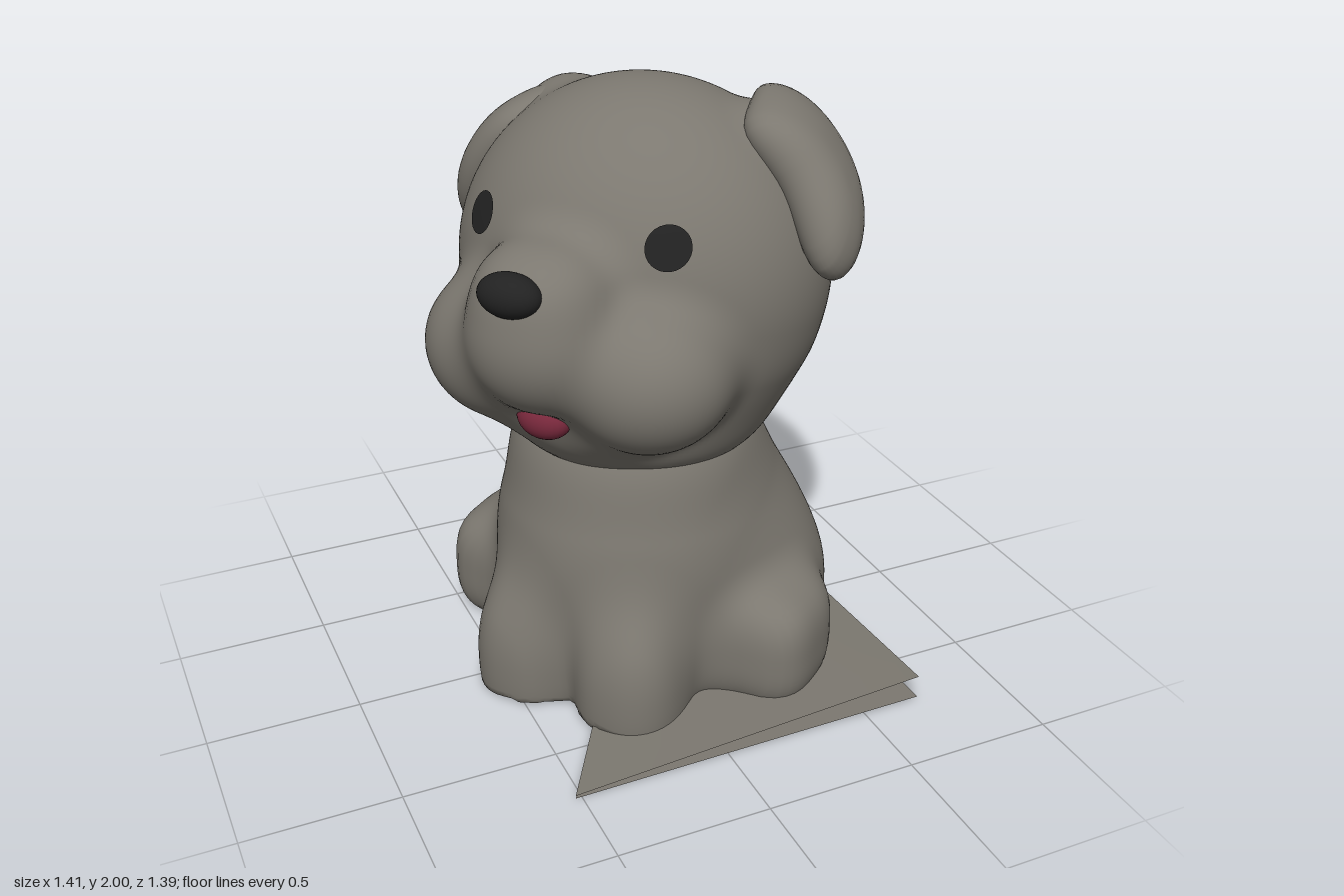
import * as THREE from 'three';
import { mergeVertices } from 'three/addons/utils/BufferGeometryUtils.js';

const V = (x, y, z) => new THREE.Vector3(x, y, z);
const clay = new THREE.MeshStandardMaterial({ color: 0x7c7870, side: THREE.DoubleSide });
clay.name = 'clay grey';
const black = new THREE.MeshStandardMaterial({ color: 0x222222 });
black.name = 'black';
const red = new THREE.MeshStandardMaterial({ color: 0x7c2a3e });
red.name = 'tongue red';

// Weld seams and smooth the normals
function smooth(geo) {
  geo.deleteAttribute('uv');
  geo.deleteAttribute('normal');
  const g = mergeVertices(geo, 1e-5);
  g.computeVertexNormals();
  return g;
}

function mesh(name, geo, mat, parent) {
  const m = new THREE.Mesh(geo, mat);
  m.name = name;
  parent.add(m);
  return m;
}

// Each lump: centre, radii, squareness exponent
const lump = (c, r, n = 2) => ({ c, r, n });
const pair = (c, r, n = 2) => [lump(c, r, n), lump([-c[0], c[1], c[2]], r, n)];

// Softly blended field of lumps, negative inside
function field(lumps, k) {
  return (p) => {
    let d = 10;
    for (const { c, r, n } of lumps) {
      const s = Math.abs((p.x - c[0]) / r[0]) ** n + Math.abs((p.y - c[1]) / r[1]) ** n
        + Math.abs((p.z - c[2]) / r[2]) ** n;
      const e = (s ** (1 / n) - 1) * Math.min(...r);
      const h = Math.max(k - Math.abs(d - e), 0) / k;
      d = Math.min(d, e) - h * h * k * 0.25;
    }
    return Math.max(d, 0.005 - p.y);
  };
}

// Surface point of a field along a ray from its centre
function caster(centre, f) {
  return (dir, lift = 0) => {
    let a = 0, b = 1.4;
    for (let i = 0; i < 22; i++) {
      const m = (a + b) / 2;
      if (f(centre.clone().addScaledVector(dir, m)) < 0) a = m; else b = m;
    }
    return centre.clone().addScaledVector(dir, a + lift);
  };
}

// Sphere pushed out onto the surface
function blob(cast) {
  const geo = new THREE.SphereGeometry(1, 144, 110);
  const pos = geo.attributes.position;
  for (let i = 0; i < pos.count; i++) {
    const q = cast(V(0, 0, 0).fromBufferAttribute(pos, i).normalize());
    pos.setXYZ(i, q.x, q.y, q.z);
  }
  return smooth(geo);
}

// Thin round patch lying on a surface
function patch(cast, centre, target, radius) {
  const geo = new THREE.CircleGeometry(radius, 28);
  const pos = geo.attributes.position;
  const look = new THREE.Object3D();
  look.position.copy(target);
  look.lookAt(target.clone().multiplyScalar(2).sub(centre));
  look.updateMatrix();
  for (let i = 0; i < pos.count; i++) {
    const p = V(0, 0, 0).fromBufferAttribute(pos, i).applyMatrix4(look.matrix);
    const q = cast(p.sub(centre).normalize(), 0.007);
    pos.setXYZ(i, q.x, q.y, q.z);
  }
  geo.computeVertexNormals();
  return geo;
}

// Ear flap: outline points (z, share of the slope) swept into an arched pillow
function earGeometry(side, top, bottom, outline, thick) {
  const curve = new THREE.CatmullRomCurve3(outline.map(([z, v]) => V(z, v, 0)), true);
  const mid = V(0, 0, 0);
  outline.forEach(([z, v]) => mid.add(V(z, v, 0).divideScalar(outline.length)));
  const dx = bottom[0] - top[0], dy = bottom[1] - top[1], len = Math.hypot(dx, dy);
  const rows = 24, cols = 48, pts = [], index = [];
  for (let i = 0; i <= rows; i++) {
    const a = (i / rows) * Math.PI;
    const spread = Math.sin(a) ** 0.6, t = Math.cos(a) * thick;
    for (let j = 0; j < cols; j++) {
      const o = curve.getPoint(j / cols).sub(mid).multiplyScalar(spread).add(mid);
      const bulge = t + 0.05 * Math.sin(Math.PI * Math.min(1, Math.max(0, o.y)));
      // The rear edge curls in towards the head
      const curl = 0.9 * Math.min(o.x, 0) ** 2;
      pts.push(side * (top[0] + dx * o.y - (dy / len) * bulge - curl), top[1] + dy * o.y + (dx / len) * bulge, o.x);
      if (i < rows) {
        const p = i * cols + j, q = i * cols + ((j + 1) % cols);
        if (side > 0) index.push(p, p + cols, q, q, p + cols, q + cols);
        else index.push(p, q, p + cols, q, q + cols, p + cols);
      }
    }
  }
  // Faces follow the outline's direction
  let area = 0;
  outline.forEach(([z, v], i) => {
    const [z2, v2] = outline[(i + 1) % outline.length];
    area += z * v2 - z2 * v;
  });
  if (area < 0) index.reverse();
  const geo = new THREE.BufferGeometry();
  geo.setAttribute('position', new THREE.Float32BufferAttribute(pts, 3));
  geo.setIndex(index);
  return smooth(geo);
}

// Sheet spanning four corners
function sheetGeometry(a, b, c, d) {
  const geo = new THREE.PlaneGeometry(1, 1, 12, 12);
  const pos = geo.attributes.position;
  for (let i = 0; i < pos.count; i++) {
    const u = pos.getX(i) + 0.5, v = pos.getY(i) + 0.5;
    const q = a.clone().lerp(b, u).lerp(d.clone().lerp(c, u), v);
    pos.setXYZ(i, q.x, q.y, q.z);
  }
  geo.computeVertexNormals();
  return geo;
}

export function createModel() {
  const model = new THREE.Group();
  model.name = 'sittingPuppy';
  const dog = new THREE.Group();
  dog.name = 'puppy';
  dog.rotation.y = -0.927;
  model.add(dog);

  // Body with rump, legs, paws and tail
  const bodyField = field([
    lump([0, 0.45, 0.03], [0.46, 0.6, 0.45]),
    lump([0, 0.83, 0], [0.385, 0.25, 0.385]),
    lump([0, 0.42, -0.13], [0.48, 0.52, 0.45]),
    lump([0, 0.22, -0.18], [0.59, 0.5, 0.5]),
    ...pair([0.19, 0.1, 0.36], [0.18, 0.32, 0.19], 2.3),
    ...pair([0.49, 0.18, 0], [0.2, 0.21, 0.2], 3),
    lump([0, 0.44, -0.6], [0.1, 0.2, 0.11]),
  ], 0.1);
  mesh('body', blob(caster(V(0, 0.32, 0), bodyField)), clay, dog);

  // Head with neck, muzzle, jowls, chin and ear roots
  const headCentre = V(0, 1.38, 0.1);
  const headField = field([
    lump([0.01, 1.42, -0.03], [0.6, 0.58, 0.54]),
    lump([0, 0.99, 0], [0.45, 0.24, 0.44]),
    lump([0, 1.2, 0], [0.5, 0.3, 0.5]),
    lump([0, 1.45, 0.5], [0.22, 0.21, 0.25], 2.3),
    lump([0, 1.33, 0.52], [0.24, 0.2, 0.23]),
    lump([0.26, 1.25, 0.4], [0.26, 0.24, 0.25]),
    lump([-0.22, 1.25, 0.4], [0.26, 0.24, 0.25]),
    lump([0, 1.1, 0.33], [0.27, 0.18, 0.2]),
    ...pair([0.35, 1.78, -0.18], [0.14, 0.14, 0.17]),
  ], 0.08);
  const headCast = caster(headCentre, headField);
  mesh('head', blob(headCast), clay, dog);

  // Eyes
  for (const s of [1, -1]) {
    mesh(s > 0 ? 'leftEye' : 'rightEye', patch(headCast, headCentre, V(s * 0.31, 1.635, 0.38), 0.064), black, dog);
  }

  // Nose and tongue
  const nose = mesh('nose', new THREE.SphereGeometry(1, 32, 20), black, dog);
  nose.scale.set(0.1, 0.066, 0.07);
  nose.position.set(0, 1.555, 0.715);
  nose.rotation.x = -0.35;
  const tongue = mesh('tongue', new THREE.SphereGeometry(1, 28, 18), red, dog);
  tongue.scale.set(0.09, 0.068, 0.06);
  tongue.position.copy(headCast(V(0, 1.1, 0.57).sub(headCentre).normalize(), -0.01));

  // Ears
  mesh('leftEar', earGeometry(1, [0.36, 1.94], [0.69, 1.49], [
    [0, 0.04], [-0.22, -0.04], [-0.4, 0.12], [-0.4, 0.5], [-0.24, 0.84], [0, 1], [0.08, 0.9], [0.05, 0.45],
  ], 0.1), clay, dog);
  mesh('rightEar', earGeometry(-1, [0.34, 1.88], [0.67, 1.36], [
    [-0.33, 0.06], [-0.11, -0.04], [0.06, 0.08], [0.1, 0.4], [0.03, 0.8], [-0.12, 1], [-0.33, 0.8], [-0.39, 0.42],
  ], 0.1), clay, dog);

  // Ground sheet: flat underside and a top layer lifting at the corner
  mesh('sheetTop', sheetGeometry(V(-0.52, 0.01, 0.72), V(0.7, 0.09, 0.72), V(0.7, 0.03, -0.52), V(0.1, 0.04, -0.3)), clay, model);
  mesh('sheetBottom', sheetGeometry(V(-0.52, 0, 0.72), V(0.7, 0.01, 0.72), V(0.7, 0.01, -0.52), V(0.1, 0, -0.3)), clay, model);
  return model;
}
